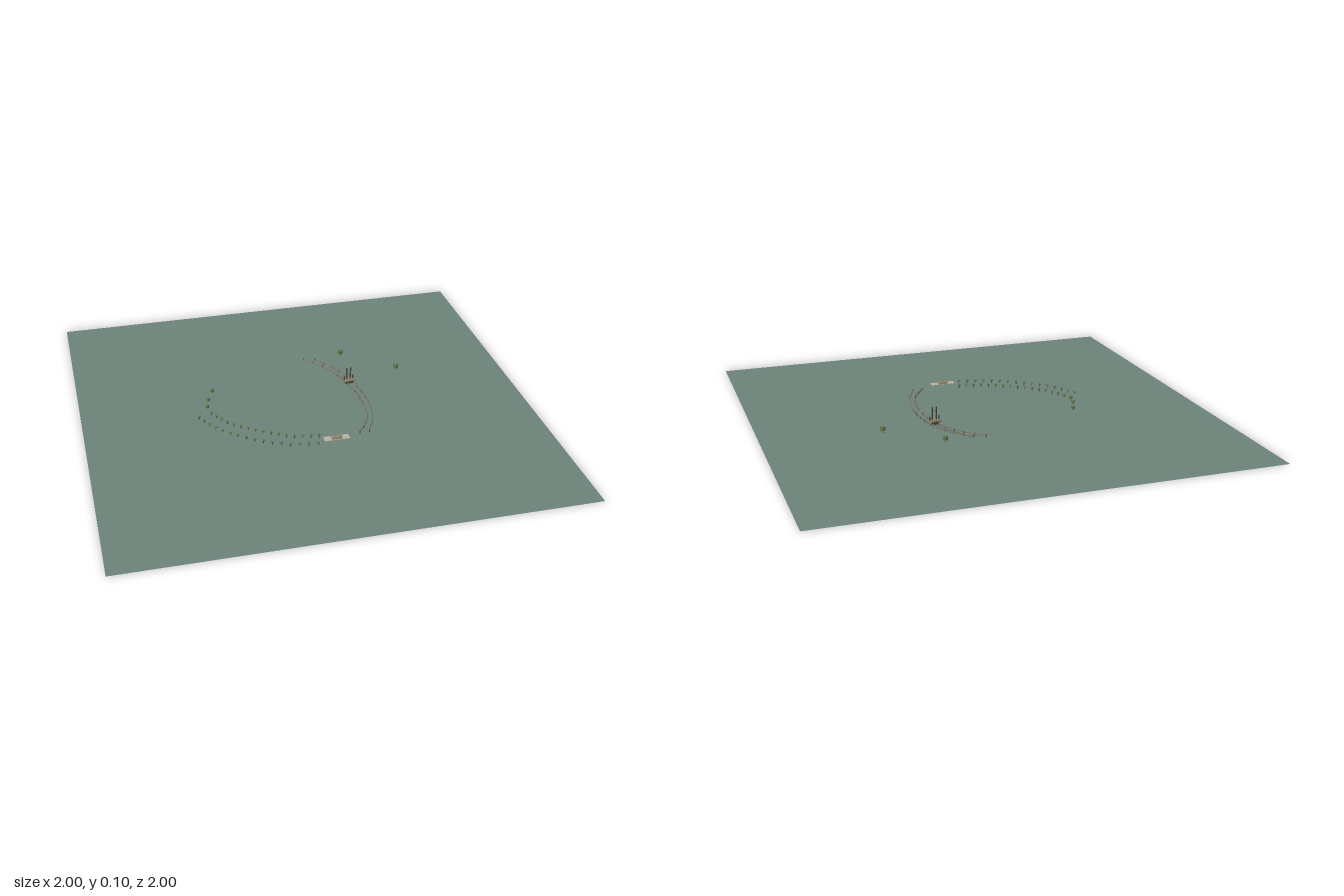
import * as THREE from 'three';

const mat = (color) => new THREE.MeshStandardMaterial({ color, flatShading: true });

export function createModel() {
  const model = new THREE.Group();
  const green = mat(0x66784f), wood = mat(0x8c8468), dark = mat(0x55504a), pale = mat(0xb4b3a2), steel = mat(0x777468);
  const add = (parent, name, geo, material, x, y, z) => {
    const m = new THREE.Mesh(geo, material);
    m.name = name;
    m.position.set(x, y, z);
    parent.add(m);
    return m;
  };
  const box = (w, h, d) => new THREE.BoxGeometry(w, h, d);
  const curve = (pts) => new THREE.CatmullRomCurve3(pts.map(([x, z, y = 0]) => new THREE.Vector3(x, y, z)));

  // ground sheet
  const groundMat = mat(0x6c8279);
  groundMat.side = THREE.DoubleSide;
  add(model, 'ground', new THREE.PlaneGeometry(2, 2), groundMat, 0, 0, 0).rotation.x = -Math.PI / 2;

  // two rows of small capped marker posts
  const rows = [
    [[-0.49, 0.03], [-0.43, 0.14], [-0.35, 0.22], [-0.25, 0.29], [-0.15, 0.34], [-0.03, 0.365]],
    [[-0.43, 0.01], [-0.38, 0.095], [-0.3, 0.17], [-0.21, 0.23], [-0.11, 0.285], [-0.01, 0.3]],
  ];
  const cap = new THREE.CylinderGeometry(0.007, 0.007, 0.004, 8);
  const stem = new THREE.CylinderGeometry(0.002, 0.002, 0.012, 6);
  for (const row of rows) {
    for (const p of curve(row).getSpacedPoints(15)) {
      add(model, 'markerCap', cap, green, p.x, 0.038, p.z);
      add(model, 'markerStem', stem, dark, p.x, 0.03, p.z);
    }
  }

  // bushes at the end of the rows and larger ones outside the track
  const shrub = (x, z, r, y, h) => {
    add(model, 'shrub', new THREE.CylinderGeometry(r, r, h * 0.6, 6), green, x, y + h * 0.7, z);
    add(model, 'shrubTrunk', new THREE.CylinderGeometry(r * 0.4, r * 0.4, h * 0.4, 6), wood, x, y + h * 0.2, z);
  };
  for (const [x, z] of [[-0.395, -0.18], [-0.425, -0.105], [-0.44, -0.045]]) shrub(x, z, 0.009, 0.026, 0.02);
  for (const [x, z] of [[0.27, -0.385], [0.49, -0.19]]) shrub(x, z, 0.012, 0.028, 0.027);

  // curved double guard rails with posts
  const rails = [
    [[0.085, -0.377, 0.032], [0.17, -0.286, 0.027], [0.23, -0.14, 0.022], [0.257, 0.06, 0.021], [0.23, 0.217, 0.026], [0.17, 0.313, 0.031]],
    [[0.14, -0.366, 0.032], [0.203, -0.28, 0.027], [0.262, -0.14, 0.022], [0.283, 0.06, 0.021], [0.262, 0.2, 0.026], [0.213, 0.313, 0.031]],
  ];
  for (const pts of rails) {
    const path = curve(pts);
    for (const dy of [-0.003, 0.004]) add(model, 'rail', new THREE.TubeGeometry(path, 48, 0.002, 5), steel, 0, dy, 0);
    for (const p of path.getSpacedPoints(14)) add(model, 'railPost', box(0.003, 0.012, 0.003), dark, p.x, p.y, p.z);
  }

  // crossing tower over the rails
  const tower = new THREE.Group();
  tower.name = 'tower';
  tower.position.set(0.243, 0, -0.135);
  tower.rotation.y = 0.2;
  model.add(tower);
  add(tower, 'towerDeck', box(0.05, 0.006, 0.036), wood, 0, 0.036, 0);
  add(tower, 'towerBase', box(0.036, 0.014, 0.024), dark, 0, 0.026, 0);
  for (const s of [-1, 1]) {
    add(tower, 'towerMast', box(0.005, 0.06, 0.005), dark, s * 0.01, 0.068, 0);
    add(tower, 'towerSidePost', box(0.005, 0.018, 0.005), dark, s * 0.022, 0.047, 0);
  }
  add(tower, 'towerBeam', box(0.024, 0.004, 0.005), wood, 0, 0.083, 0);

  // flat landing stage with a raised middle
  const stage = new THREE.Group();
  stage.name = 'landingStage';
  stage.position.set(0.057, 0, 0.345);
  model.add(stage);
  add(stage, 'stageDeck', box(0.112, 0.004, 0.035), pale, 0, 0.038, 0);
  add(stage, 'stageMiddle', new THREE.CylinderGeometry(0.025, 0.034, 0.008, 4, 1).rotateY(Math.PI / 4).scale(1, 1, 0.6), wood, 0, 0.044, 0);

  // scattered pebbles
  const pebble = new THREE.IcosahedronGeometry(0.002, 0);
  for (const [x, z] of [[-0.245, -0.345], [0.33, -0.325], [0.38, -0.28], [0.52, 0.04], [0.5, 0.12], [0.46, 0.15]])
    add(model, 'pebble', pebble, steel, x, 0.03, z);

  return model;
}
